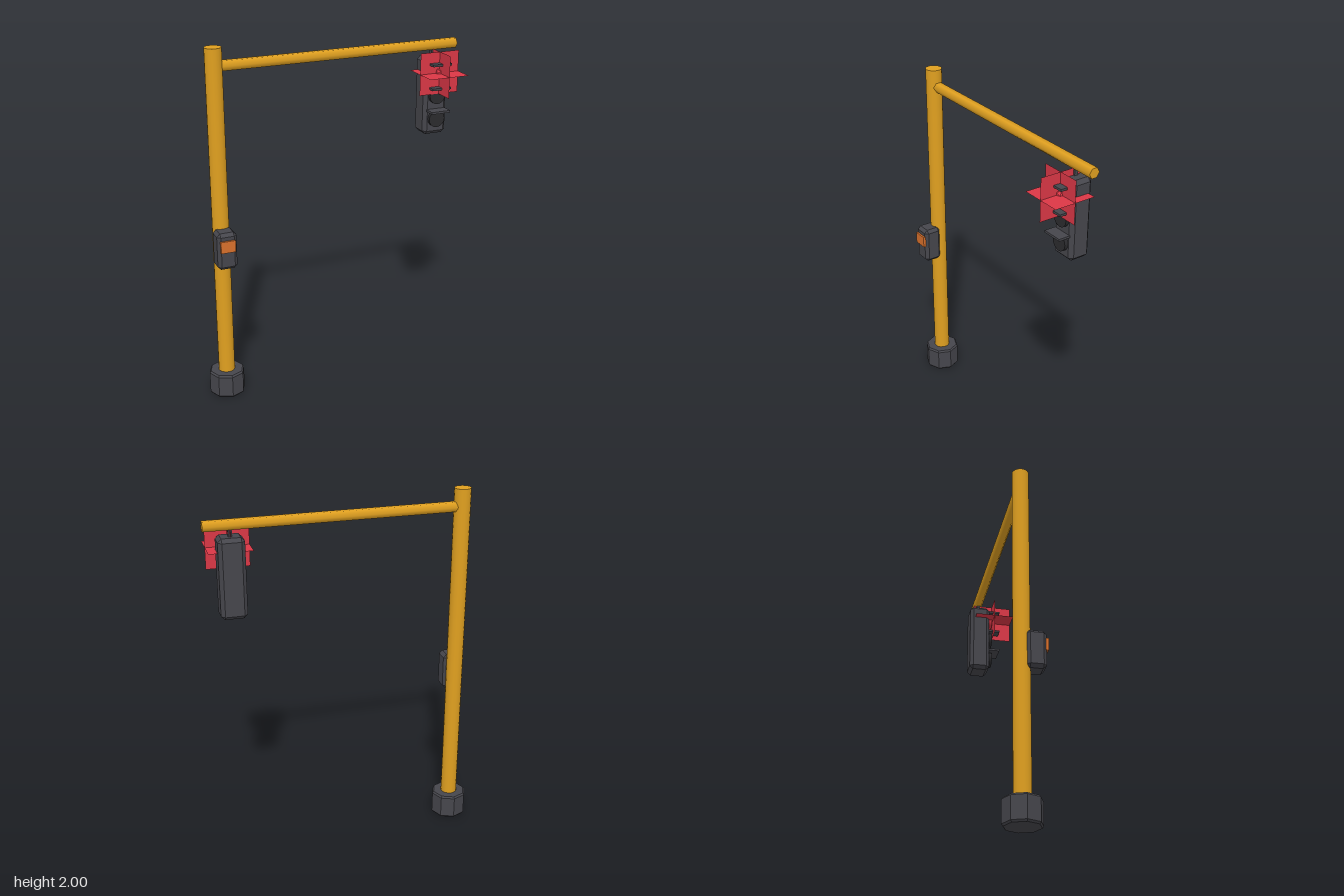
import * as THREE from 'three';
import { ConvexGeometry } from 'three/addons/geometries/ConvexGeometry.js';

const mat = (name, color, side = THREE.FrontSide) => {
  const m = new THREE.MeshStandardMaterial({ color, side });
  m.name = name;
  return m;
};

// Box with one flat chamfer along every edge
function chamferBox(w, h, d, c) {
  const pts = [];
  for (const sx of [-1, 1]) for (const sy of [-1, 1]) for (const sz of [-1, 1]) {
    const x = w / 2, y = h / 2, z = d / 2;
    pts.push(
      new THREE.Vector3(sx * x, sy * (y - c), sz * (z - c)),
      new THREE.Vector3(sx * (x - c), sy * y, sz * (z - c)),
      new THREE.Vector3(sx * (x - c), sy * (y - c), sz * z));
  }
  return new ConvexGeometry(pts);
}

export function createModel() {
  const gold = mat('golden yellow', 0xe0a020);
  const dark = mat('dark grey', 0x46464c);
  const black = mat('lens black', 0x2b2b2e);
  const red = mat('signal red', 0xdb3746, THREE.DoubleSide);
  const orange = mat('button orange', 0xd8702c);

  const model = new THREE.Group();
  model.name = 'trafficLight';
  const add = (name, geometry, material, x, y, z) => {
    const mesh = new THREE.Mesh(geometry, material);
    mesh.name = name;
    mesh.position.set(x, y, z);
    model.add(mesh);
    return mesh;
  };

  const px = -0.653, pz = -0.05;   // pole axis
  const lx = 0.61;                 // lamp centre line

  // Octagonal foot with a small bevel
  const profile = [[0, 0], [0.094, 0], [0.102, 0.01], [0.102, 0.13], [0.094, 0.14], [0, 0.14]];
  const foot = new THREE.LatheGeometry(profile.map(p => new THREE.Vector2(...p)), 8).toNonIndexed();
  foot.computeVertexNormals();
  add('base', foot, dark, px, 0, pz);

  // Pole and hexagonal arm
  add('pole', new THREE.CylinderGeometry(0.046, 0.046, 1.88, 16), gold, px, 1.06, pz);
  const arm = add('arm', new THREE.CylinderGeometry(0.03, 0.03, 1.37, 6), gold, 0.067, 1.9, -0.053);
  arm.rotation.z = Math.PI / 2;

  // Crossing request box
  add('buttonBox', chamferBox(0.11, 0.21, 0.104, 0.018), dark, px, 0.915, 0.019);
  add('button', new THREE.BoxGeometry(0.082, 0.066, 0.02), orange, px, 0.948, 0.072);

  // Signal housing and hanger
  add('signalHousing', chamferBox(0.142, 0.438, 0.122, 0.02), dark, lx, 1.619, -0.05);
  add('hanger', new THREE.BoxGeometry(0.02, 0.06, 0.02), dark, lx, 1.86, -0.053);

  // Three lamps, each with a flat visor
  [['redLens', red], ['middleLens', black], ['lowerLens', black]].forEach(([name, material], i) => {
    const y = 1.762 - i * 0.134;
    const lens = add(name, new THREE.CylinderGeometry(0.048, 0.048, 0.026, 16), material, lx, y, 0.018);
    lens.rotation.x = Math.PI / 2;
    add('visor', new THREE.BoxGeometry(0.115, 0.012, 0.066), dark, lx, y + 0.049, 0.043);
  });

  // Glow: a small bulb with three crossed sheets
  add('bulb', new THREE.IcosahedronGeometry(0.025, 0), red, lx, 1.76, 0.037);
  [[0, 0], [Math.PI / 2, 0], [0, Math.PI / 2]].forEach(([rx, ry]) => {
    const sheet = add('glowSheet', new THREE.PlaneGeometry(0.236, 0.236), red, lx + 0.001, 1.759, 0.036);
    sheet.rotation.set(rx, ry, 0);
  });

  return model;
}
